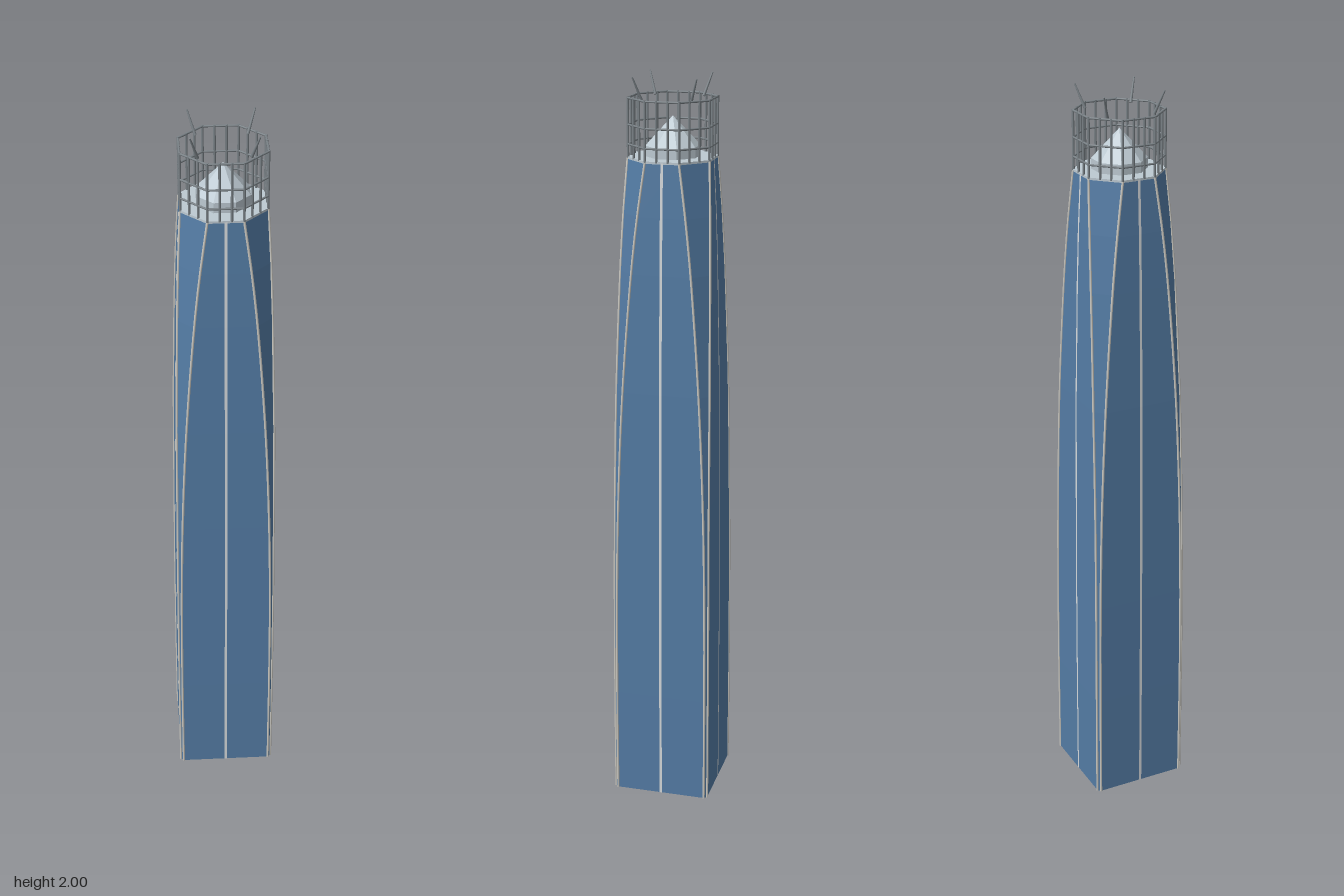
import * as THREE from 'three';

const material = (name, color, side = THREE.FrontSide) => {
  const m = new THREE.MeshStandardMaterial({ color, side });
  m.name = name;
  return m;
};

// Tower levels: height, half width, half width of the flat face
const LEVELS = [
  [0, 0.134, 0.126], [0.3, 0.134, 0.126], [0.6, 0.133, 0.124], [0.87, 0.131, 0.118],
  [1.18, 0.128, 0.104], [1.5, 0.121, 0.08], [1.65, 0.116, 0.064], [1.79, 0.109, 0.045],
];

// Chamfered square, counterclockwise seen from above
const octagon = (w, f, y) => [
  [w, f], [w, -f], [f, -w], [-f, -w], [-w, -f], [-w, f], [-f, w], [f, w],
].map(([x, z]) => new THREE.Vector3(x, y, z));

// Flat-faced skin joining a stack of cross-sections, closed round or left as a strip
function skin(rings, closed = true) {
  const pos = [];
  const n = rings[0].length;
  for (let k = 0; k < rings.length - 1; k++) {
    for (let i = 0; i < (closed ? n : n - 1); i++) {
      const j = (i + 1) % n;
      const [a, b, c, d] = [rings[k][i], rings[k][j], rings[k + 1][j], rings[k + 1][i]];
      [a, b, c, a, c, d].forEach((p) => pos.push(p.x, p.y, p.z));
    }
  }
  const g = new THREE.BufferGeometry();
  g.setAttribute('position', new THREE.Float32BufferAttribute(pos, 3));
  g.computeVertexNormals();
  return g;
}

export function createModel() {
  const glass = material('blue glass', 0x547ca5, THREE.DoubleSide);
  const trim = material('pale trim', 0xd6dadc, THREE.DoubleSide);
  const edge = material('pale grey edge', 0xc9c7c0);
  const steel = material('grey steel', 0x7a8287);
  const roof = material('roof grey', 0xbdcad2);
  const model = new THREE.Group();

  const add = (name, geometry, mat, parent = model) => {
    const mesh = new THREE.Mesh(geometry, mat);
    mesh.name = name;
    parent.add(mesh);
    return mesh;
  };
  const group = (name) => {
    const g = new THREE.Group();
    g.name = name;
    model.add(g);
    return g;
  };
  const rod = (name, a, b, r0, r1, mat, parent) => {
    const mesh = add(name, new THREE.CylinderGeometry(r1, r0, a.distanceTo(b), 10), mat, parent);
    mesh.position.copy(a).add(b).multiplyScalar(0.5);
    mesh.quaternion.setFromUnitVectors(new THREE.Vector3(0, 1, 0), b.clone().sub(a).normalize());
  };

  // Glass shaft, open underneath
  const rings = LEVELS.map(([y, w, f]) => octagon(w, f, y));
  add('glassShaft', skin(rings), glass);

  // Edge tubes along the eight corners
  const edges = group('cornerEdges');
  for (let i = 0; i < 8; i++) {
    const curve = new THREE.CatmullRomCurve3(rings.map((r) => r[i]));
    add('cornerEdge', new THREE.TubeGeometry(curve, 28, 0.0032, 12), edge, edges);
  }

  // Pale strip up the middle of each face, outside and inside the glass
  const ribs = group('centreRibs');
  for (let s = 0; s < 4; s++) {
    for (const offset of [-0.001, 0.001]) {
      const strip = LEVELS.map(([y, w]) => [-0.0035, 0.0035].map((x) => new THREE.Vector3(x, y, w + offset)));
      add('centreRib', skin(strip, false), trim, ribs).rotation.y = s * Math.PI / 2;
    }
  }

  // Roof deck
  const deckShape = new THREE.Shape(octagon(0.11, 0.0455, 0).map((p) => new THREE.Vector2(p.x, -p.z)));
  const deckGeometry = new THREE.ExtrudeGeometry(deckShape, { depth: 0.006, bevelEnabled: false });
  deckGeometry.rotateX(-Math.PI / 2).translate(0, 1.787, 0);
  add('roofDeck', deckGeometry, roof);

  // Faceted lantern: short drum with a pyramid cap
  const corner = 0.067 * Math.tan(Math.PI / 8);
  add('lantern', skin([
    octagon(0.067, corner, 1.79), octagon(0.067, corner, 1.82), octagon(0, 0, 1.897),
  ]), roof);

  // Crown fence: rails and posts around the roof
  const fence = group('crownFence');
  const rail = octagon(0.108, 0.045, 0);
  for (let i = 0; i < 8; i++) {
    const a = rail[i];
    const b = rail[(i + 1) % 8];
    for (const y of [1.825, 1.875, 1.943]) {
      rod('fenceRail', a.clone().setY(y), b.clone().setY(y), 0.0028, 0.0028, steel, fence);
    }
    for (let k = 0; k < 3; k++) {
      const p = a.clone().lerp(b, k / 3);
      rod('fencePost', p.clone().setY(1.79), p.clone().setY(1.946), 0.0033, 0.0033, steel, fence);
    }
  }

  // Four spikes leaning outwards over the bevelled corners
  const spikes = group('crownSpikes');
  for (const sx of [-1, 1]) {
    for (const sz of [-1, 1]) {
      rod('crownSpike', new THREE.Vector3(0.065 * sx, 1.94, 0.065 * sz),
        new THREE.Vector3(0.084 * sx, 2, 0.084 * sz), 0.004, 0.002, steel, spikes);
    }
  }
  return model;
}
